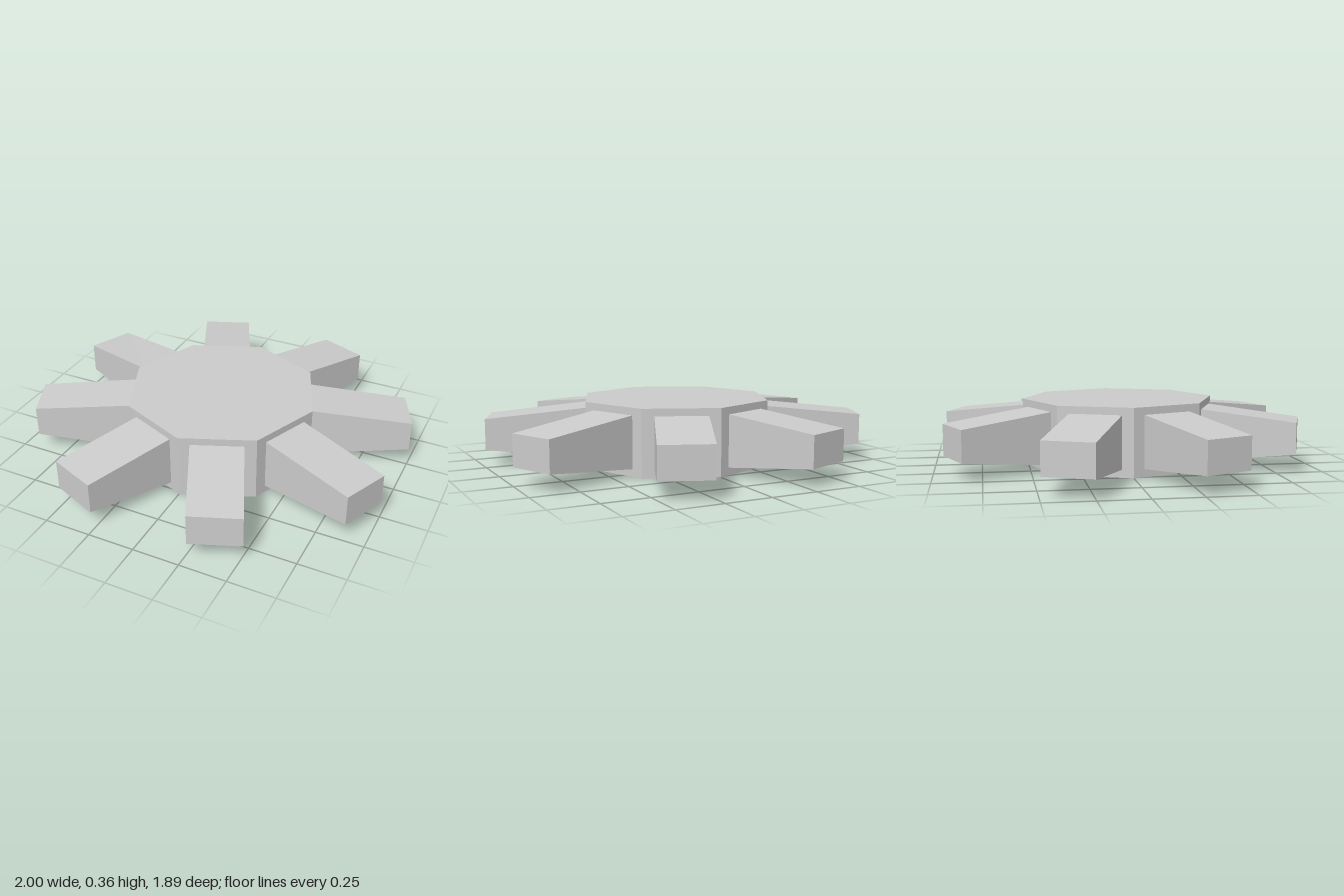
import * as THREE from 'three';

const material = new THREE.MeshStandardMaterial({ color: 0xcccccc, flatShading: true });

// Tapered block between two edges, each given as a pair of [x, z] corners
function makeArm(root, end) {
  const geometry = new THREE.BoxGeometry(1, 1, 1);
  const p = geometry.attributes.position;
  for (let i = 0; i < p.count; i++) {
    const atEnd = p.getZ(i) > 0;
    const [x, z] = (atEnd ? end : root)[p.getX(i) > 0 ? 1 : 0];
    const halfHeight = atEnd ? 0.083 : 0.138;
    p.setXYZ(i, x, 0.179 + Math.sign(p.getY(i)) * halfHeight, z);
  }
  geometry.computeVertexNormals();
  return new THREE.Mesh(geometry, material);
}

export function createModel() {
  const model = new THREE.Group();
  model.name = 'eightArmedHub';

  // Octagonal hub with corners on the x and z axes
  const hub = new THREE.Mesh(new THREE.CylinderGeometry(0.525, 0.525, 0.356, 8), material);
  hub.position.y = 0.178;
  hub.name = 'hub';
  model.add(hub);

  // Two arms of one quadrant, mirrored into the other three
  const arms = [
    { name: 'lengthwiseArm', root: [[0.057, 0.501], [0.313, 0.396]], end: [[0.265, 0.946], [0.516, 0.848]] },
    { name: 'sidewaysArm', root: [[0.396, 0.313], [0.501, 0.057]], end: [[0.895, 0.492], [1, 0.253]] },
  ];
  for (const sx of [1, -1]) {
    for (const sz of [1, -1]) {
      for (const { name, root, end } of arms) {
        const mirror = (edge) => {
          const corners = edge.map(([x, z]) => [x * sx, z * sz]);
          return sx * sz < 0 ? corners.reverse() : corners; // keep faces outward
        };
        const arm = makeArm(mirror(root), mirror(end));
        arm.name = `${name}${sz > 0 ? 'Front' : 'Back'}${sx > 0 ? 'Left' : 'Right'}`;
        model.add(arm);
      }
    }
  }
  return model;
}
